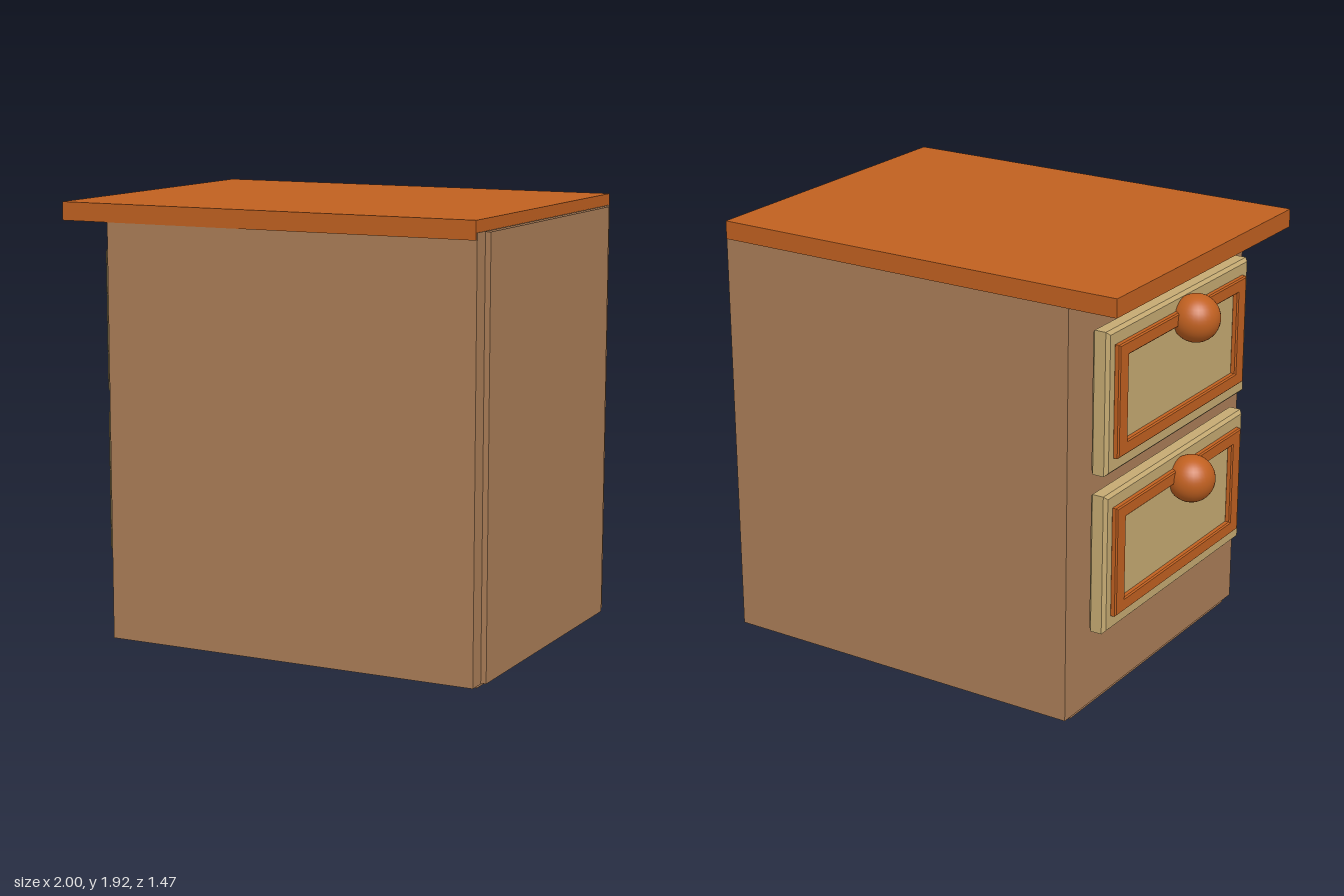
import * as THREE from 'three';

const material = (name, color) => {
  const m = new THREE.MeshStandardMaterial({ color });
  m.name = name;
  return m;
};

export function createModel() {
  const brown = material('brown wood', 0xaa7d57);
  const orange = material('orange wood', 0xc06020);
  const tan = material('pale wood', 0xc5aa72);
  const group = new THREE.Group();
  group.name = 'cabinet';

  const add = (parent, name, geometry, mat) => {
    const mesh = new THREE.Mesh(geometry, mat);
    mesh.name = name;
    parent.add(mesh);
    return mesh;
  };

  // Box given by its limits on each axis
  const box = (name, mat, [x0, x1], [y0, y1], [z0, z1]) => {
    const mesh = add(group, name, new THREE.BoxGeometry(x1 - x0, y1 - y0, z1 - z0), mat);
    mesh.position.set((x0 + x1) / 2, (y0 + y1) / 2, (z0 + z1) / 2);
  };

  const trace = (path, w, h) => {
    path.moveTo(-w / 2, -h / 2);
    path.lineTo(w / 2, -h / 2);
    path.lineTo(w / 2, h / 2);
    path.lineTo(-w / 2, h / 2);
    path.closePath();
    return path;
  };

  // Bevelled plate standing in the yz plane, its front facing -x at x = 0
  const plate = (w, h, depth, bevel, hole) => {
    const shape = trace(new THREE.Shape(), w - 2 * bevel, h - 2 * bevel);
    if (hole) shape.holes.push(trace(new THREE.Path(), hole[0] + 2 * bevel, hole[1] + 2 * bevel));
    const geometry = new THREE.ExtrudeGeometry(shape, {
      depth: depth - 2 * bevel, bevelThickness: bevel, bevelSize: bevel, bevelSegments: 1,
    });
    return geometry.translate(0, 0, bevel - depth).rotateY(-Math.PI / 2);
  };

  // Carcass
  box('body', brown, [-0.745, 0.974], [0.015, 1.87], [-0.732, 0.732]);
  box('backPanel', brown, [0.97, 0.998], [0.018, 1.868], [-0.66, 0.652]);
  box('basePlate', brown, [-0.738, 0.964], [0, 0.03], [-0.68, 0.67]);
  box('top', orange, [-0.967, 0.971], [1.84, 1.92], [-0.737, 0.737]);

  // Two drawer fronts, each with a raised frame and a round knob
  [['lowerDrawer', 0.69], ['upperDrawer', 1.4]].forEach(([name, y], i) => {
    const drawer = new THREE.Group();
    drawer.name = name;
    drawer.position.y = y;
    group.add(drawer);
    add(drawer, 'drawerFront', plate(1.19, 0.622, 0.08, 0.014), tan).position.set(-0.84, 0, 0.015);
    add(drawer, 'frame', plate(1.08, 0.49, 0.03, 0.006, [0.93, 0.37]), orange)
      .position.set(-0.865, 0.003, 0.01);
    add(drawer, 'knob', new THREE.SphereGeometry(0.104, 32, 20), orange)
      .position.set(-0.896, i ? 0.208 : 0.193, 0.04);
  });
  return group;
}
